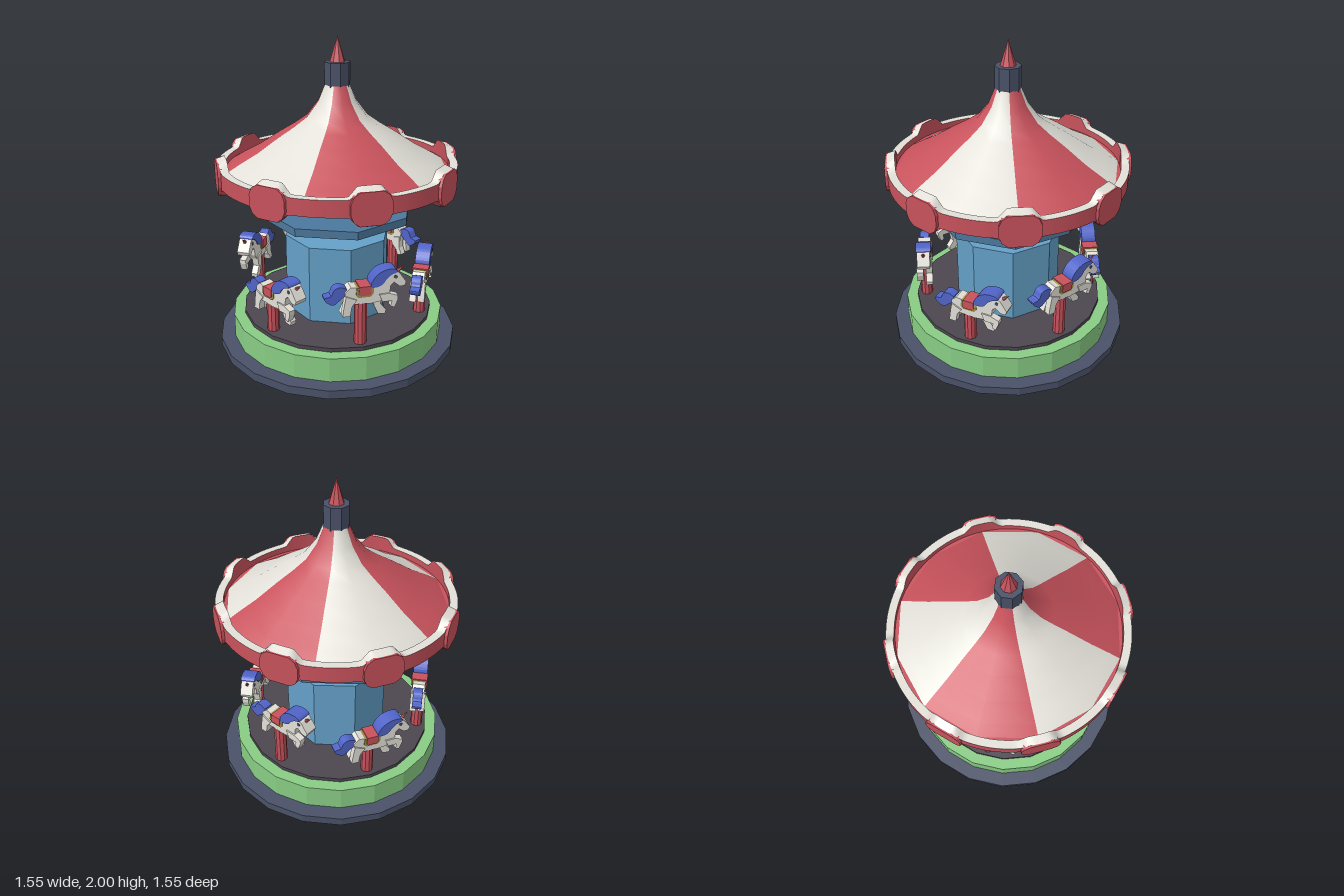
import * as THREE from 'three';

const mat = (name, color) => {
  const m = new THREE.MeshStandardMaterial({ color });
  m.name = name;
  return m;
};
const red = mat('red', 0xc8525c);
const white = mat('cream white', 0xe2e0d8);
const green = mat('green', 0x88cc84);
const blue = mat('sky blue', 0x64a0c8);
const steel = mat('steel blue', 0x4c789e);
const dark = mat('dark slate', 0x4a5268);
const floorGrey = mat('floor grey', 0x4c4650);
const maneBlue = mat('mane blue', 0x5064c8);
const gold = mat('old gold', 0xa0904a);

const TAU = Math.PI * 2;

function add(parent, name, geometry, material) {
  const mesh = new THREE.Mesh(geometry, material);
  mesh.name = name;
  parent.add(mesh);
  return mesh;
}

function flat(geometry) {
  const g = geometry.toNonIndexed();
  g.computeVertexNormals();
  return g;
}

// Upright faceted drum between two heights
function drum(parent, name, material, r, y0, y1, sides, rTop = r) {
  const g = flat(new THREE.CylinderGeometry(rTop, r, y1 - y0, sides));
  g.translate(0, (y0 + y1) / 2, 0);
  return add(parent, name, g, material);
}

// Outline extruded evenly to both sides of z = 0, or around z
function slab(parent, name, material, pts, depth, z = 0, curved = false) {
  const v = pts.map(p => new THREE.Vector2(p[0], p[1]));
  const shape = new THREE.Shape(
    curved ? new THREE.SplineCurve([...v, v[0]]).getPoints(pts.length * 3).slice(0, -1) : v);
  const g = new THREE.ExtrudeGeometry(shape, { depth, bevelEnabled: false });
  g.translate(0, 0, z - depth / 2);
  return add(parent, name, g, material);
}

// Closed band around the y axis between two edge functions angle -> [radius, y]
function band(parent, name, material, lower, upper) {
  const n = 192, pos = [], idx = [];
  for (let i = 0; i <= n; i++) {
    const a = (i / n) * TAU;
    for (const [r, y] of [lower(a), upper(a)]) pos.push(Math.sin(a) * r, y, Math.cos(a) * r);
    if (i < n) idx.push(2 * i, 2 * i + 2, 2 * i + 1, 2 * i + 1, 2 * i + 2, 2 * i + 3);
  }
  const g = new THREE.BufferGeometry();
  g.setAttribute('position', new THREE.Float32BufferAttribute(pos, 3));
  g.setIndex(idx);
  g.computeVertexNormals();
  return add(parent, name, g, material);
}

// Horse heading +x, with its pole on the y axis
function makeHorse() {
  const horse = new THREE.Group();
  slab(horse, 'horseBody', white, [
    [-0.1, 0.56], [-0.05, 0.54], [0, 0.54], [0.05, 0.535], [0.13, 0.545], [0.165, 0.59],
    [0.17, 0.635], [0.19, 0.655], [0.225, 0.625], [0.255, 0.625], [0.265, 0.65], [0.22, 0.715],
    [0.18, 0.735], [0.14, 0.715], [0.1, 0.68], [0.06, 0.645], [0, 0.638], [-0.07, 0.652],
    [-0.105, 0.62]], 0.08);

  // Galloping legs, one pair for each side
  const foreRaised = [[0.1, 0.59], [0.16, 0.59], [0.215, 0.57], [0.215, 0.545], [0.195, 0.495],
    [0.17, 0.505], [0.178, 0.54], [0.12, 0.54]];
  const foreDown = [[0.07, 0.58], [0.14, 0.57], [0.125, 0.5], [0.16, 0.455], [0.155, 0.43],
    [0.11, 0.435], [0.085, 0.49]];
  const hindBack = [[-0.1, 0.6], [-0.035, 0.57], [-0.065, 0.53], [-0.075, 0.47], [-0.12, 0.47],
    [-0.115, 0.515]];
  const hindUnder = [[-0.095, 0.59], [-0.02, 0.57], [-0.035, 0.52], [-0.07, 0.49], [-0.085, 0.455],
    [-0.12, 0.465], [-0.1, 0.51]];
  slab(horse, 'foreLegOuter', white, foreRaised, 0.042, 0.027);
  slab(horse, 'foreLegInner', white, foreDown, 0.042, -0.027);
  slab(horse, 'hindLegOuter', white, hindBack, 0.042, 0.027);
  slab(horse, 'hindLegInner', white, hindUnder, 0.042, -0.027);

  slab(horse, 'mane', maneBlue, [
    [0.05, 0.638], [0.055, 0.675], [0.09, 0.72], [0.14, 0.742], [0.19, 0.742], [0.21, 0.722],
    [0.175, 0.708], [0.145, 0.685], [0.12, 0.652], [0.085, 0.638]], 0.092, 0, true);
  slab(horse, 'tail', maneBlue, [
    [-0.092, 0.64], [-0.13, 0.655], [-0.165, 0.643], [-0.185, 0.605], [-0.225, 0.595],
    [-0.21, 0.565], [-0.17, 0.545], [-0.135, 0.57], [-0.095, 0.605]], 0.06, 0, true);

  // Saddle cloth with a gold border
  slab(horse, 'saddleBorder', gold, [
    [-0.035, 0.645], [-0.04, 0.6], [-0.025, 0.582], [0.05, 0.582], [0.065, 0.6], [0.07, 0.655],
    [0.055, 0.655], [0.045, 0.645]], 0.09);
  slab(horse, 'saddle', red, [
    [-0.02, 0.652], [-0.025, 0.605], [-0.015, 0.595], [0.04, 0.595], [0.05, 0.605], [0.05, 0.652]],
    0.102);

  const horn = add(horse, 'horn', flat(new THREE.ConeGeometry(0.018, 0.08, 6)), red);
  horn.position.set(0.234, 0.715, 0);
  horn.rotation.z = -0.87;
  for (const s of [1, -1]) {
    const eye = add(horse, 'eye', new THREE.CylinderGeometry(0.011, 0.011, 0.006, 10), dark);
    eye.rotation.x = Math.PI / 2;
    eye.position.set(0.2, 0.69, s * 0.041);
  }
  drum(horse, 'pole', red, 0.038, 0.085, 0.57, 10);
  return horse;
}

export function createModel() {
  const model = new THREE.Group();
  model.name = 'carousel';
  const body = new THREE.Group();
  body.name = 'carouselBody';
  body.rotation.y = Math.PI / 12;
  model.add(body);

  // Platform
  drum(body, 'basePlate', dark, 0.778, 0.03, 0.085, 20);
  drum(body, 'platform', green, 0.687, 0.085, 0.24, 20);
  drum(body, 'floor', floorGrey, 0.615, 0.24, 0.265, 20);

  // Centre
  drum(body, 'centreDrum', blue, 0.338, 0.265, 0.765, 8);
  add(body, 'column', new THREE.CylinderGeometry(0.146, 0.146, 0.44, 16), dark).position.y = 0.98;
  drum(body, 'collarDisc', steel, 0.485, 0.895, 0.945, 8);

  // Horses, alternately high and low
  for (let i = 0; i < 6; i++) {
    const horse = makeHorse();
    horse.name = 'horse' + (i + 1);
    const holder = new THREE.Group();
    holder.name = 'horseMount' + (i + 1);
    holder.rotation.y = (i * TAU) / 6;
    horse.position.set(0, i % 2 ? -0.085 : 0, 0.55);
    holder.add(horse);
    body.add(holder);
  }

  // Striped tent roof
  const profile = [[0.69, 1.2], [0.62, 1.243], [0.5, 1.31], [0.37, 1.398], [0.27, 1.46],
    [0.19, 1.517], [0.12, 1.61], [0.078, 1.71]].map(p => new THREE.Vector2(p[0], p[1]));
  for (let i = 0; i < 6; i++) {
    add(body, 'roofStripe', new THREE.LatheGeometry(profile, 2, ((i - 0.5) * TAU) / 6, TAU / 6),
      i % 2 ? white : red);
  }
  drum(body, 'roofUnderside', red, 0.7, 1.15, 1.2, 24);
  drum(body, 'roofCap', dark, 0.08, 1.7, 1.845, 8);
  drum(body, 'finial', red, 0.047, 1.845, 2, 8, 0);

  // Rim that swells above and below each of eight panels
  const bump = a => {
    const step = TAU / 8;
    const d = Math.abs(a - Math.round(a / step) * step);
    return THREE.MathUtils.smoothstep(0.178 - d, 0, 0.095);
  };
  const outerLow = a => [0.74, 1.14 - 0.055 * bump(a)];
  const outerTop = a => [0.74, 1.24 + 0.043 * bump(a)];
  const innerTop = a => [0.69, 1.24 + 0.062 * bump(a)];
  const innerLow = a => [0.69, 1.14 - 0.055 * bump(a)];
  band(body, 'rimOutside', red, outerLow, outerTop);
  band(body, 'rimTop', white, outerTop, innerTop);
  band(body, 'rimInside', red, innerTop, innerLow);
  band(body, 'rimBottom', red, innerLow, outerLow);

  for (let i = 0; i < 8; i++) {
    const panel = slab(body, 'rimPanel', red, [
      [-0.065, 1.09], [0.065, 1.09], [0.1, 1.115], [0.117, 1.155], [0.117, 1.22], [0.1, 1.26],
      [0.065, 1.283], [-0.065, 1.283], [-0.1, 1.26], [-0.117, 1.22], [-0.117, 1.155],
      [-0.1, 1.115]], 0.03, 0.734);
    panel.rotation.y = (i * TAU) / 8;
  }
  return model;
}
